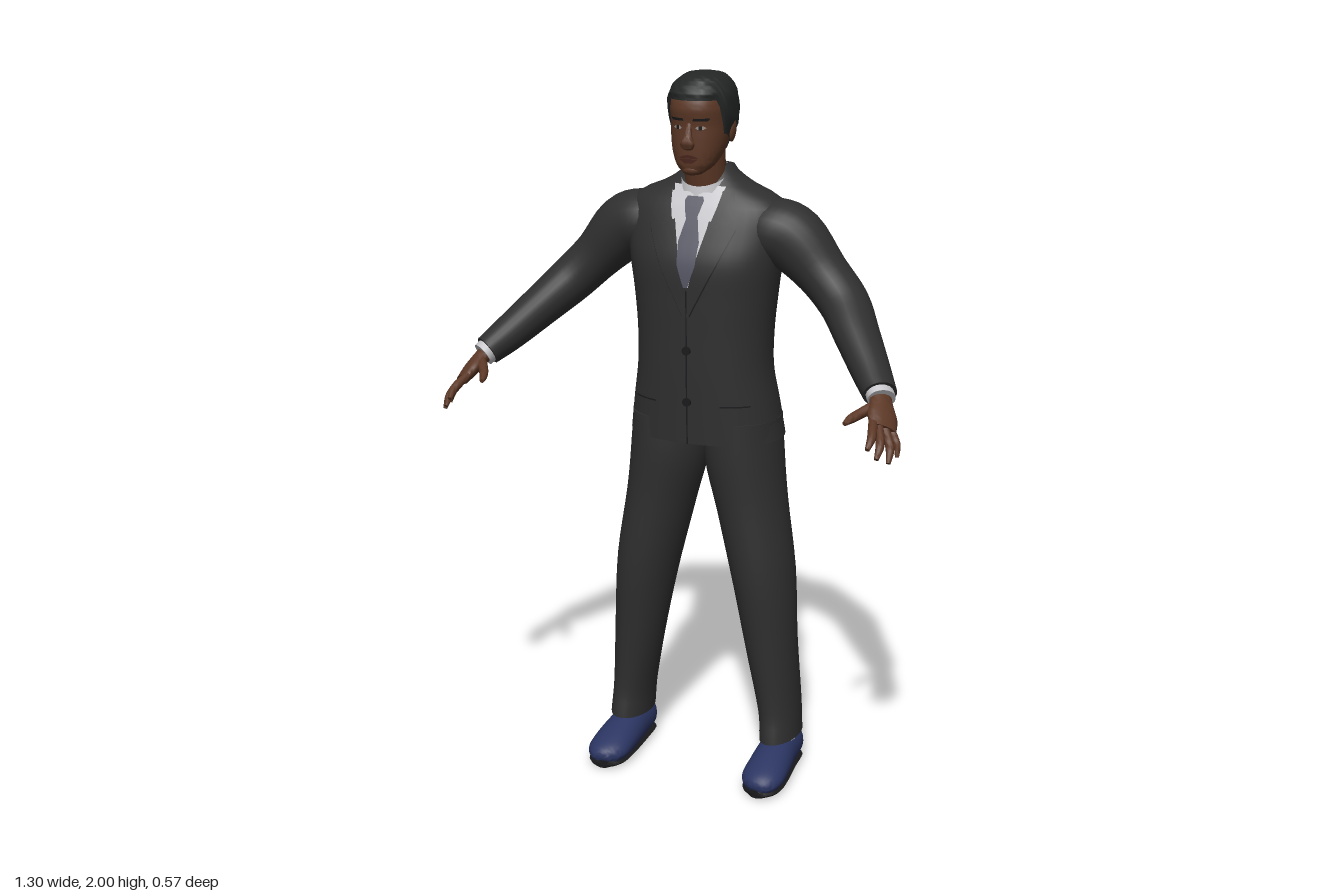
import * as THREE from 'three';
import { toCreasedNormals } from 'three/addons/utils/BufferGeometryUtils.js';

const mat = (name, color, side = THREE.FrontSide) => {
  const m = new THREE.MeshStandardMaterial({ color, side });
  m.name = name;
  return m;
};
const lerp = THREE.MathUtils.lerp, smooth = THREE.MathUtils.smoothstep;

// Surface through nu x nv points given by fn(u, v)
function grid(nu, nv, fn) {
  const pos = [], idx = [];
  for (let j = 0; j <= nv; j++) for (let i = 0; i <= nu; i++) pos.push(...fn(i / nu, j / nv));
  for (let j = 0; j < nv; j++) for (let i = 0; i < nu; i++) {
    const a = j * (nu + 1) + i, d = a + nu + 1;
    idx.push(a, a + 1, d, a + 1, d + 1, d);
  }
  const g = new THREE.BufferGeometry();
  g.setAttribute('position', new THREE.Float32BufferAttribute(pos, 3));
  g.setIndex(idx);
  return toCreasedNormals(g, 1.0);
}

// Capped limb through sections [x, y, z, widthRadius, thicknessRadius]
function sweep(secs, axis = [1, 0, 0], seg = 20) {
  const path = new THREE.CatmullRomCurve3(secs.map(s => new THREE.Vector3(s[0], s[1], s[2])), false, 'catmullrom');
  const size = new THREE.CatmullRomCurve3(secs.map(s => new THREE.Vector3(s[3], s[4], 0)), false, 'catmullrom');
  const rows = (secs.length - 1) * 4, side = new THREE.Vector3(...axis);
  return grid(seg, rows + 2, (u, v) => {
    const k = Math.round(v * (rows + 2)), t = Math.min(Math.max(k - 1, 0), rows) / rows;
    const c = path.getPoint(t), T = path.getTangent(t), r = size.getPoint(t);
    if (k === 0 || k === rows + 2) r.set(0, 0, 0);
    const U = side.clone().addScaledVector(T, -side.dot(T)).normalize();
    const V = T.clone().cross(U), a = u * Math.PI * 2;
    return c.addScaledVector(U, Math.cos(a) * r.x).addScaledVector(V, Math.sin(a) * r.y).toArray();
  });
}

// Smooth lookup in a profile of rows [y, zCentre, xRadius, zRadius]
function at(P, y) {
  y = Math.min(Math.max(y, P[0][0]), P[P.length - 1][0]);
  let i = 0;
  while (i < P.length - 2 && y > P[i + 1][0]) i++;
  const h = P[i + 1][0] - P[i][0], t = (y - P[i][0]) / h;
  const slope = (n, k) => {
    const a = P[Math.max(n - 1, 0)], b = P[Math.min(n + 1, P.length - 1)];
    return (b[k] - a[k]) / (b[0] - a[0]);
  };
  return [1, 2, 3].map(k => {
    const m0 = slope(i, k) * h, m1 = slope(i + 1, k) * h, p0 = P[i][k], p1 = P[i + 1][k];
    return p0 + t * (m0 + t * (3 * (p1 - p0) - 2 * m0 - m1 + t * (2 * (p0 - p1) + m0 + m1)));
  });
}
const POW = 2.3;
function ringPoint(P, a, y, off = 0) {
  const [zc, rx, rz] = at(P, y), c = Math.cos(a), s = Math.sin(a);
  const e = v => Math.sign(v) * Math.abs(v) ** (2 / POW);
  return [e(c) * Math.max(rx + off, 0), y, zc - e(s) * Math.max(rz + off, 0)];
}
function body(P, rows, seg = 40) {
  const y0 = P[0][0], y1 = P[P.length - 1][0];
  return grid(seg, rows + 2, (u, v) => {
    const k = Math.round(v * (rows + 2)), y = lerp(y0, y1, Math.min(Math.max(k - 1, 0), rows) / rows);
    return k === 0 || k === rows + 2 ? [0, y, at(P, y)[0]] : ringPoint(P, u * Math.PI * 2, y);
  });
}
// Thin cloth or paint on a profile, rows [y, x0, x1] from low to high; dir -1 for the back
function patch(P, rows, off, dir = 1) {
  const n = rows.length - 1;
  return grid(8, n * 5, (u, v) => {
    const i = Math.min(Math.floor(v * n), n - 1), t = v * n - i;
    const [y, x0, x1] = rows[i].map((q, k) => lerp(q, rows[i + 1][k], t));
    const x = lerp(Math.min(x0, x1), Math.max(x0, x1), u);
    const [zc, rx, rz] = at(P, y);
    return [x, y, zc + dir * (off + rz * Math.max(1 - Math.min(Math.abs(x) / rx, 1) ** POW, 0) ** (1 / POW))];
  });
}

const TORSO = [[1.0, -.13, .22, .153], [1.1, -.12, .206, .146], [1.2, -.11, .191, .139], [1.3, -.111, .191, .141],
  [1.4, -.113, .2, .144], [1.5, -.113, .214, .141], [1.58, -.122, .225, .122], [1.645, -.13, .222, .1],
  [1.675, -.134, .185, .086], [1.7, -.137, .125, .075], [1.73, -.14, .078, .06], [1.748, -.14, .066, .048]];
const HEAD = [[1.737, -.02, .022, .022], [1.755, -.036, .046, .047], [1.79, -.056, .065, .07], [1.83, -.071, .074, .086],
  [1.87, -.085, .078, .1], [1.91, -.084, .079, .105], [1.945, -.088, .073, .096], [1.972, -.09, .055, .073],
  [1.986, -.09, .032, .045], [1.99, -.09, .003, .004]];

export function createModel() {
  const group = new THREE.Group();
  group.name = 'suitedMan';
  const D = THREE.DoubleSide;
  const suit = mat('charcoalSuit', 0x2f2f2f, D), skin = mat('brownSkin', 0x5c3826), hair = mat('blackHair', 0x242626, D);
  const shirt = mat('whiteShirt', 0xc6c6ca, D), tie = mat('greyTie', 0x555563, D), shoe = mat('blueShoe', 0x2b3562);
  const trim = mat('darkTrim', 0x1a1a1c, D), lip = mat('lips', 0x47241c, D), eye = mat('eyeWhite', 0x9a8c82, D);
  const add = (name, geo, m) => {
    const mesh = new THREE.Mesh(geo, m);
    mesh.name = name;
    group.add(mesh);
    return mesh;
  };
  const blob = (name, m, p, s, rz = 0) => {
    const b = add(name, new THREE.SphereGeometry(1, 16, 12), m);
    b.position.set(...p);
    b.scale.set(...s);
    b.rotation.z = rz;
  };

  // Jacket body, shirt front and tie
  add('jacket', body(TORSO, 44), suit);
  add('shirtFront', patch(TORSO, [[1.44, -.006, .006], [1.52, -.026, .026], [1.6, -.047, .047], [1.7, -.074, .074]], .003), shirt);
  add('tie', patch(TORSO, [[1.44, -.006, .006], [1.5, -.026, .026], [1.56, -.03, .03], [1.625, -.015, .015]], .008), tie);
  add('tieKnot', patch(TORSO, [[1.62, -.015, .015], [1.635, -.02, .02], [1.665, -.027, .027], [1.675, -.022, .022]], .015), tie);
  add('frontSeam', patch(TORSO, [[1.0, -.002, .002], [1.43, -.002, .002]], .002), trim);
  add('backVent', patch(TORSO, [[1.0, -.006, .006], [1.17, -.001, .001]], .002, -1), trim);
  for (const y of [1.12, 1.265]) {
    const b = add('button', new THREE.CylinderGeometry(.012, .012, .008, 16), trim);
    b.rotation.x = Math.PI / 2;
    b.position.set(0, y, at(TORSO, y)[0] + at(TORSO, y)[2] + .002);
  }
  // Shirt collar band, low at the throat and high at the nape
  add('collarBand', grid(32, 3, (u, v) => {
    const a = u * Math.PI * 2, back = (1 + Math.sin(a)) / 2;
    return [Math.cos(a) * (.072 - .008 * v), lerp(lerp(1.645, 1.71, back), lerp(1.7, 1.757, back), v),
      -.106 - Math.sin(a) * (.074 - .008 * v)];
  }), shirt);

  // Neck, head and hair
  add('neck', sweep([[0, 1.64, -.12, .056, .056], [0, 1.72, -.104, .056, .058], [0, 1.82, -.09, .056, .062]]), skin);
  add('head', body(HEAD, 36), skin);
  add('hair', grid(48, 22, (u, v) => {
    const a = u * Math.PI * 2, f = -Math.sin(a);
    const low = f > .2 ? lerp(1.842, 1.932, smooth(f, .25, .6)) : lerp(1.79, 1.842, smooth(f, -.7, .2));
    const y = lerp(low, 1.99, Math.sin(v * Math.PI / 2));
    const lump = .0025 * Math.sin(a * 9 + v * 7) * Math.sin(v * 17 + a * 4);
    const p = ringPoint(HEAD, a, y, v === 1 ? -.01 : .002 + (.008 + lump) * smooth(v, 0, .2));
    p[1] += .01 * v;
    return p;
  }), hair);
  // Face
  add('nose', sweep([[0, 1.872, .008, .009, .008], [0, 1.84, .018, .011, .012], [0, 1.82, .022, .02, .014], [0, 1.808, .014, .013, .008]]), skin);
  add('upperLip', patch(HEAD, [[1.782, -.027, .027], [1.788, -.018, .018], [1.791, -.004, .004]], .004), lip);
  add('lowerLip', patch(HEAD, [[1.769, -.01, .01], [1.775, -.02, .02], [1.781, -.026, .026]], .005), lip);
  blob('chin', skin, [0, 1.75, -.008], [.028, .016, .02]);

  for (const s of [1, -1]) {
    const mx = secs => secs.map(([x, ...r]) => [x * s, ...r]);
    const strip = rows => rows.map(([y, a, b]) => [y, a * s, b * s]);
    add('eye', patch(HEAD, strip([[1.857, .025, .038], [1.862, .019, .046], [1.867, .026, .038]]), .002), eye);
    add('iris', patch(HEAD, strip([[1.857, .028, .036], [1.867, .028, .036]]), .003), trim);
    add('eyebrow', patch(HEAD, strip([[1.88, .013, .05], [1.887, .015, .055]]), .003), trim);
    blob('ear', skin, [.08 * s, 1.845, -.098], [.008, .03, .018], -.12 * s);

    // Lapels, collar wings and pocket flaps
    add('lapel', patch(TORSO, strip([[1.36, .002, .008], [1.5, .023, .08], [1.595, .046, .122], [1.61, .048, .1],
      [1.625, .052, .122], [1.69, .07, .1]]), .008), suit);
    add('lapelEdge', patch(TORSO, strip([[1.36, .007, .011], [1.5, .079, .083], [1.595, .121, .125]]), .004), trim);
    add('collarWing', patch(TORSO, strip([[1.615, .05, .056], [1.65, .02, .066], [1.685, .004, .072]]), .013), shirt);
    add('pocketFlap', patch(TORSO, strip([[1.115, .095, .168], [1.14, .09, .168]]), .006), suit);
    add('pocketEdge', patch(TORSO, strip([[1.111, .094, .168], [1.115, .094, .168]]), .006), trim);

    // Sleeve and shirt cuff
    add('sleeve', sweep(mx([[.13, 1.58, -.13, .08, .075], [.19, 1.58, -.13, .094, .088], [.25, 1.555, -.13, .088, .09],
      [.33, 1.475, -.125, .075, .071], [.4, 1.405, -.1, .074, .066], [.46, 1.34, -.03, .068, .058],
      [.525, 1.27, .05, .056, .05], [.568, 1.227, .105, .05, .042]]), [0, 0, 1], 24), suit);
    add('shirtCuff', sweep(mx([[.56, 1.235, .095, .042, .035], [.576, 1.217, .116, .042, .034]]), [0, 0, 1]), shirt);

    // Hand: palm, four fingers, thumb
    const across = [-.6 * s, .27, .75];
    add('palm', sweep(mx([[.565, 1.228, .1, .03, .024], [.58, 1.206, .13, .034, .021], [.592, 1.183, .158, .044, .02],
      [.603, 1.16, .188, .04, .015]]), across), skin);
    const fingers = [[[.58, 1.178, .2], [.593, 1.155, .25], [.592, 1.132, .282]],
      [[.594, 1.168, .194], [.612, 1.135, .238], [.612, 1.105, .268]],
      [[.606, 1.16, .18], [.63, 1.122, .212], [.634, 1.088, .236]],
      [[.617, 1.156, .162], [.638, 1.122, .178], [.643, 1.092, .19]]];
    fingers.forEach((f, i) => {
      const r = i === 3 ? .0095 : .0115;
      add('finger', sweep(mx([[...f[0], r, r], [...f[1], r, r], [...f[2], r * .55, r * .5]]), across, 12), skin);
    });
    add('thumb', sweep(mx([[.572, 1.208, .135, .015, .014], [.542, 1.193, .178, .014, .013], [.525, 1.185, .21, .012, .011],
      [.516, 1.178, .236, .006, .006]]), across, 12), skin);

    // Trouser leg, sock and shoe
    add('trouserLeg', sweep(mx([[.113, 1.06, -.125, .1, .13], [.112, .95, -.125, .109, .132], [.138, .8, -.122, .098, .122],
      [.177, .6, -.115, .088, .115], [.203, .4, -.113, .073, .096], [.228, .2, -.125, .058, .095],
      [.235, .105, -.12, .055, .105]]), [1, 0, 0], 28), suit);
    add('sock', sweep(mx([[.235, .15, -.12, .042, .07], [.235, .09, -.12, .042, .07]])), shirt);
    const last = [[.235, .055, -.208, .026, .035], [.235, .057, -.185, .047, .052], [.235, .057, -.1, .054, .058],
      [.238, .048, -.02, .06, .05], [.24, .039, .05, .06, .037], [.238, .033, .085, .044, .026], [.236, .03, .099, .022, .014]];
    add('shoe', sweep(mx(last), [1, 0, 0], 24), shoe);
    add('sole', sweep(mx(last.map(([x, , z, w]) => [x, .012, z, w * .96, .012])), [1, 0, 0], 16), trim);
  }
  return group;
}
